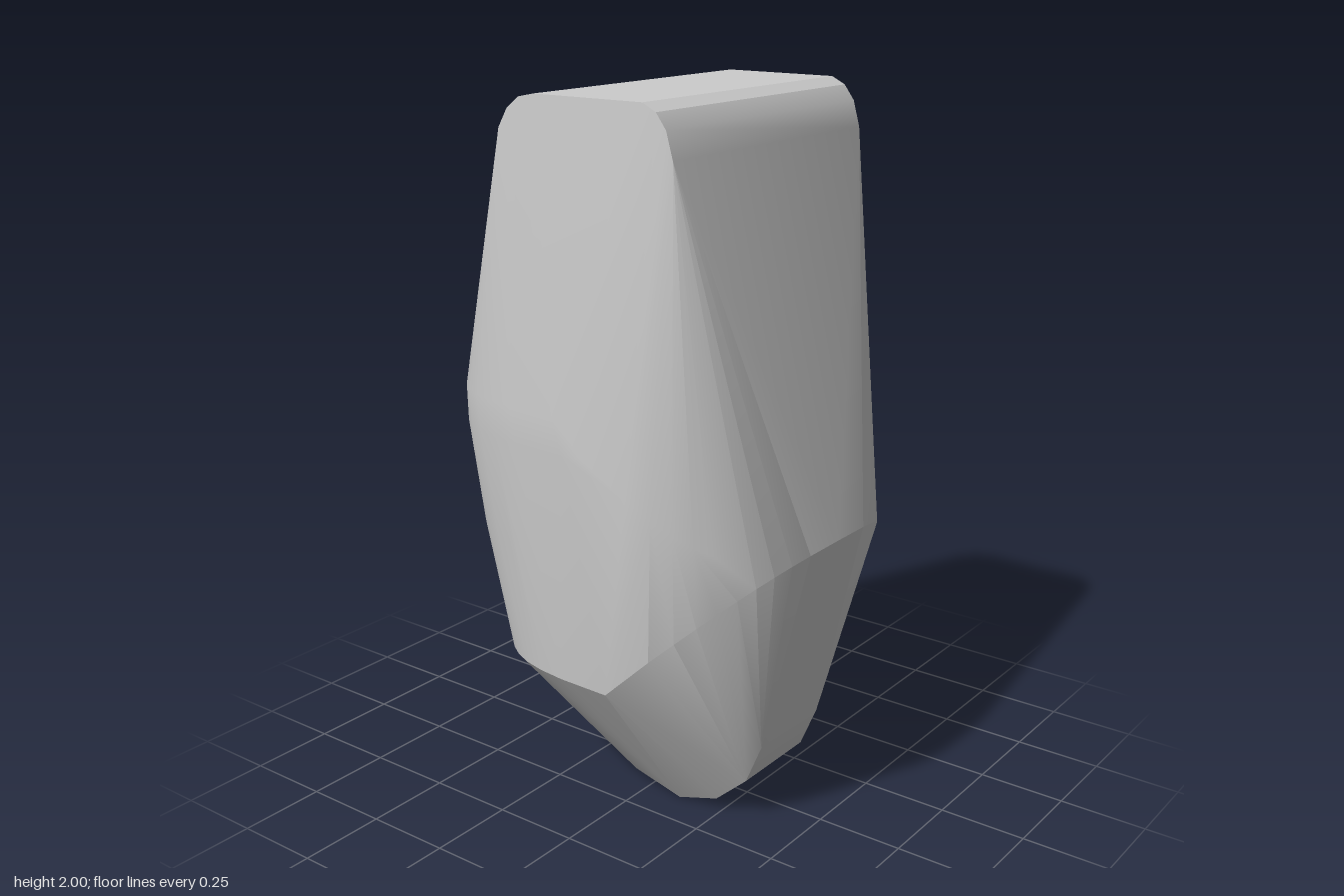
import * as THREE from 'three';
import { ConvexGeometry } from 'three/addons/geometries/ConvexGeometry.js';
import { toCreasedNormals } from 'three/addons/utils/BufferGeometryUtils.js';

// Straight edge profile [x, y] repeated at +z and -z
const slab = (profile, z) => profile.flatMap(([x, y]) =>
  [z, -z].map((s) => new THREE.Vector3(x, y, s)));

// Half of a superellipse around (cx, 0): rx < 0 bulges to -x, rx > 0 to +x; slope tilts it along x
function arc(cx, rx, rz, y, slope = 0, steps = 10) {
  const points = [];
  for (let i = -steps; i <= steps; i++) {
    const t = (i / steps) * Math.PI / 2;
    const dx = rx * Math.pow(Math.abs(Math.cos(t)), 2 / 3.2);
    const z = Math.sign(i) * rz * Math.pow(Math.abs(Math.sin(t)), 2 / 3.2);
    points.push(new THREE.Vector3(cx + dx, y + slope * dx, z));
  }
  return points;
}

export function createModel() {
  const group = new THREE.Group();

  // flat top with rounded shoulders
  const top = slab([[-0.25, 1.91], [-0.22, 1.96], [-0.18, 1.99], [-0.13, 2],
    [0.21, 2], [0.25, 1.98], [0.28, 1.94], [0.3, 1.87]], 0.42);

  // narrow rounded foot
  const foot = slab([[-0.17, 0.13], [-0.05, 0.04], [0.11, 0], [0.24, 0.04],
    [0.34, 0.13], [0.39, 0.25]], 0.14);

  // rounded belt around the widest part
  const belt = [
    ...arc(-0.05, -0.462, 0.42, 1.29),
    ...arc(-0.05, -0.48, 0.474, 1.2),
    ...arc(-0.02, -0.513, 0.475, 1.1),
    ...arc(0.05, 0.43, 0.474, 1.1, -0.6),
    ...arc(0, -0.502, 0.447, 0.8),
  ];

  // lower rim: level on one side, rising to a point on the other
  const rim = [
    ...arc(0.07, -0.5, 0.42, 0.425),
    ...arc(0.07, 0.46, 0.42, 0.43, 0.91),
  ];

  const hull = new ConvexGeometry([...top, ...foot, ...belt, ...rim]);
  const body = new THREE.Mesh(toCreasedNormals(hull, 0.4),
    new THREE.MeshStandardMaterial({ color: 0xcccccc }));
  body.name = 'stoneBody';
  group.add(body);
  return group;
}
